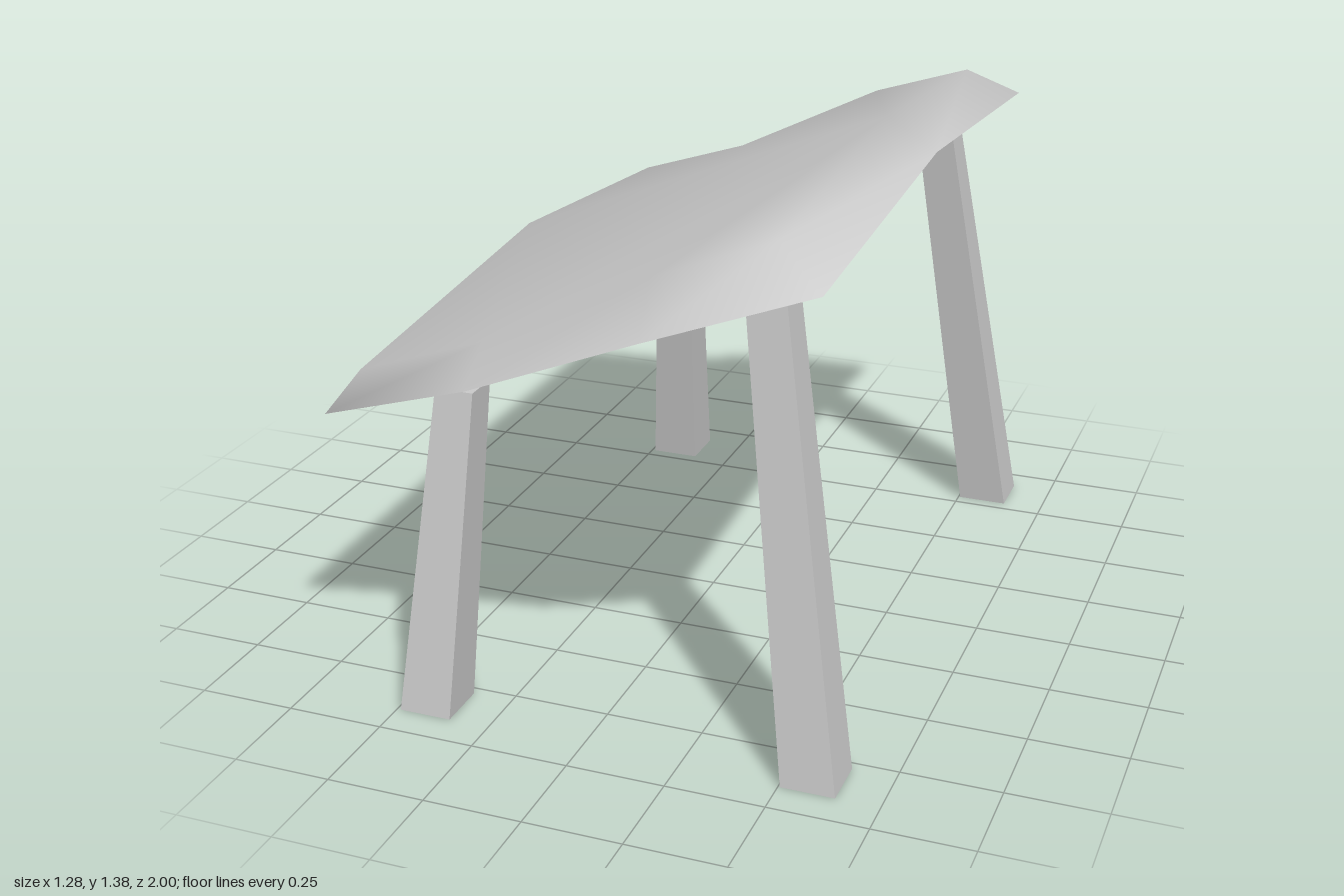
import * as THREE from 'three';
import { mergeVertices } from 'three/addons/utils/BufferGeometryUtils.js';

const grey = new THREE.MeshStandardMaterial({ color: 0xcccccc, side: THREE.DoubleSide });
grey.name = 'plain grey';

// Smooth roof sheet: five rows from front to back, each with six points along x
function canopyGeometry() {
  const frontCorner = [-0.64, 0.78, 0.92], backCorner = [-0.64, 0.78, -1];
  const frontHigh = [0.59, 1.23, 0.92], backHigh = [0.59, 1.23, -0.92];
  const ridgeLow = [-0.53, 0.99, 0], ridgeHigh = [0.46, 1.38, 0];
  const shoulder = (zs) => [[-0.56, 0.89, zs[0]], [-0.24, 1.0, zs[1]], [0.18, 1.21, zs[2]], [0.46, 1.31, zs[3]]];
  const rows = [
    [frontCorner, frontCorner, [-0.27, 0.89, 0.92], [0.2, 1.1, 1], frontHigh, frontHigh],
    [frontCorner, ...shoulder([0.88, 0.87, 0.88, 0.82]), frontHigh],
    [[-0.61, 0.87, 0], ridgeLow, ridgeLow, ridgeHigh, ridgeHigh, [0.59, 1.3, 0]],
    [backCorner, ...shoulder([-0.92, -0.89, -0.88, -0.82]), backHigh],
    [backCorner, backCorner, [-0.27, 0.89, -0.965], [0.2, 1.1, -0.995], backHigh, backHigh],
  ];
  const index = [];
  for (let i = 0; i < 4; i++) {
    for (let j = 0; j < 5; j++) {
      const a = i * 6 + j, b = a + 1, c = a + 7, d = a + 6;
      // diagonals mirror across the ridge
      if (i < 2) index.push(a, b, c, a, c, d);
      else index.push(a, b, d, b, c, d);
    }
  }
  let geo = new THREE.BufferGeometry();
  geo.setAttribute('position', new THREE.Float32BufferAttribute(rows.flat(2), 3));
  geo.setIndex(index);
  geo = mergeVertices(geo);
  // drop the triangles that collapse at the corners and ridge ends
  const kept = [], ids = geo.index.array;
  for (let k = 0; k < ids.length; k += 3) {
    const [p, q, r] = [ids[k], ids[k + 1], ids[k + 2]];
    if (p !== q && q !== r && r !== p) kept.push(p, q, r);
  }
  geo.setIndex(kept);
  geo.computeVertexNormals();
  return geo;
}

// Leaning, tapered post, hollow at the foot; ranges are [min, max]
function legGeometry(height, footX, topX, footZ, topZ) {
  const geo = new THREE.BoxGeometry(1, 1, 1);
  const p = geo.attributes.position;
  for (let i = 0; i < p.count; i++) {
    const top = p.getY(i) > 0;
    const xs = top ? topX : footX, zs = top ? topZ : footZ;
    p.setXYZ(i, xs[p.getX(i) > 0 ? 1 : 0], top ? height : 0, zs[p.getZ(i) > 0 ? 1 : 0]);
  }
  const ids = Array.from(geo.index.array);
  ids.splice(18, 6); // open underside
  geo.setIndex(ids);
  geo.clearGroups();
  geo.computeVertexNormals();
  return geo;
}

export function createModel() {
  const model = new THREE.Group();
  model.name = 'canopy shelter';
  const add = (name, geo) => {
    const mesh = new THREE.Mesh(geo, grey);
    mesh.name = name;
    model.add(mesh);
  };

  add('canopy', canopyGeometry());

  // Short posts under the low edge, tall posts under the high edge
  const sides = [
    ['front', [0.775, 0.91], [0.665, 0.76]],
    ['back', [-0.92, -0.785], [-0.77, -0.675]],
  ];
  for (const [side, footZ, topZ] of sides) {
    add(side + 'ShortLeg', legGeometry(0.815, [-0.49, -0.355], [-0.43, -0.33], footZ, topZ));
    add(side + 'TallLeg', legGeometry(1.21, [0.505, 0.64], [0.353, 0.451], footZ, topZ));
  }
  return model;
}
